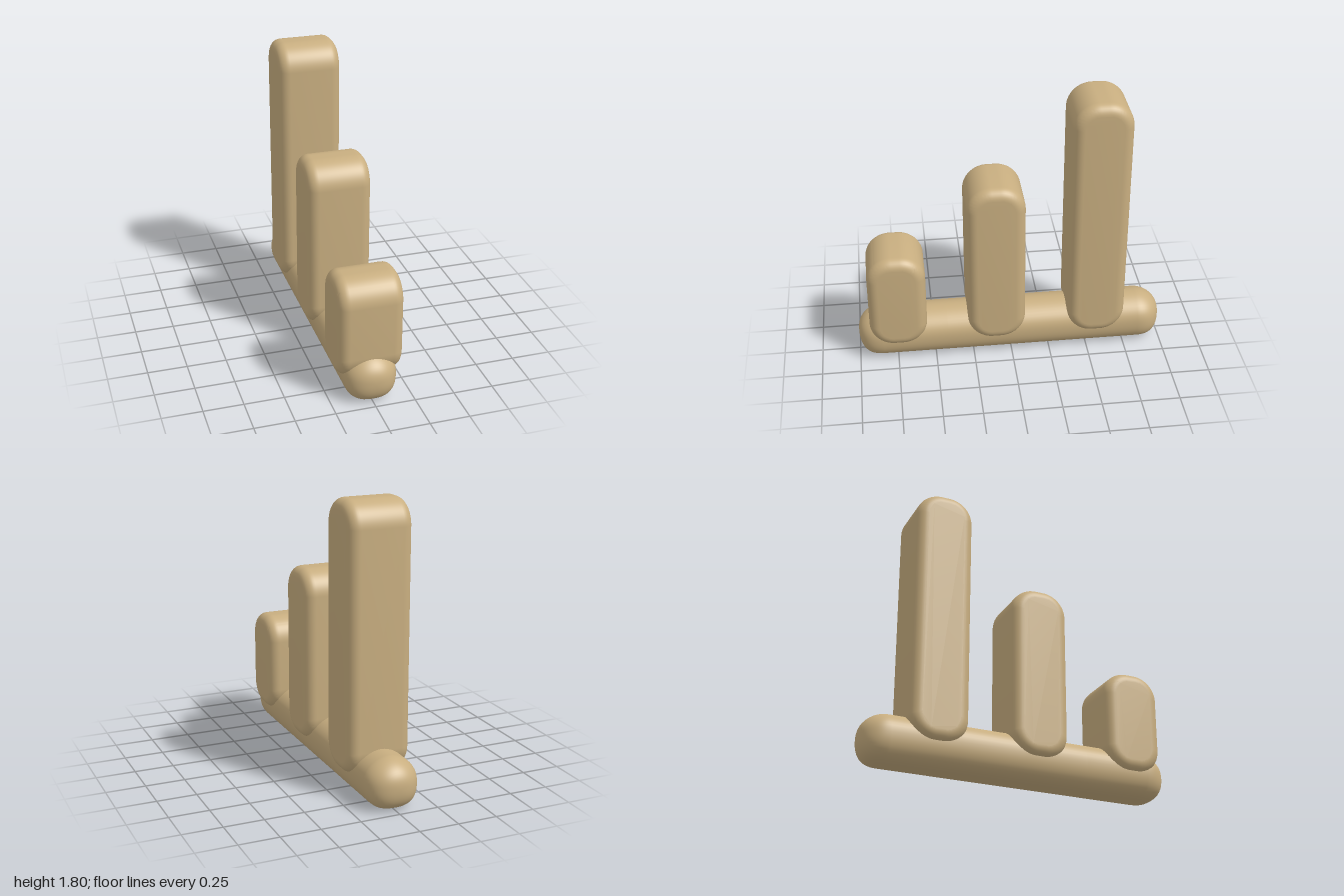
import * as THREE from 'three';
import { mergeVertices, toCreasedNormals } from 'three/addons/utils/BufferGeometryUtils.js';

const tan = new THREE.MeshStandardMaterial({ color: 0xc8ae80 });
tan.name = 'tan';

// Upright slab: big round corners seen from the side, small rounded edges across x
function barGeometry(y0, y1, depth, width) {
  const bevel = 0.065, r = 0.095;
  const h = depth / 2 - bevel, b = y0 + bevel, t = y1 - bevel;
  const s = new THREE.Shape();
  s.absarc(h - r, b + r, r, -Math.PI / 2, 0, false);
  s.absarc(h - r, t - r, r, 0, Math.PI / 2, false);
  s.absarc(-h + r, t - r, r, Math.PI / 2, Math.PI, false);
  s.absarc(-h + r, b + r, r, Math.PI, Math.PI * 1.5, false);
  const length = width - 2 * bevel;
  const g = new THREE.ExtrudeGeometry(s, {
    depth: length, bevelEnabled: true, bevelSize: bevel, bevelThickness: bevel,
    bevelSegments: 8, curveSegments: 12,
  });
  g.translate(0, 0, -length / 2);
  g.rotateY(Math.PI / 2);
  return toCreasedNormals(g, Math.PI / 4);
}

// Lying capsule, rounder on top and squarer underneath
function baseGeometry() {
  const r = 0.16, half = 1 - r;
  const g = new THREE.CapsuleGeometry(r, half * 2, 16, 48, 4);
  g.rotateX(Math.PI / 2);
  const pos = g.attributes.position;
  const v = new THREE.Vector3();
  for (let i = 0; i < pos.count; i++) {
    v.fromBufferAttribute(pos, i);
    const axisZ = THREE.MathUtils.clamp(v.z, -half, half);
    v.z -= axisZ;
    v.normalize();
    const p = 2.3 - 0.4 * v.y;
    const len = Math.pow(Math.abs(v.x) ** p + Math.abs(v.y) ** p + Math.abs(v.z) ** p, 1 / p);
    v.divideScalar(len);
    pos.setXYZ(i, v.x * 0.165, v.y * 0.157 + 0.157, v.z * r + axisZ);
  }
  g.deleteAttribute('uv');
  g.deleteAttribute('normal');
  const merged = mergeVertices(g, 1e-4);
  merged.computeVertexNormals();
  return merged;
}

export function createModel() {
  const group = new THREE.Group();
  group.name = 'steppedBars';

  const base = new THREE.Mesh(baseGeometry(), tan);
  base.name = 'base';
  group.add(base);

  // Three bars rising towards the back
  const bars = [
    ['shortBar', 0.74, 0.797],
    ['middleBar', 0.1, 1.265],
    ['tallBar', -0.553, 1.805],
  ];
  for (const [name, z, top] of bars) {
    const bar = new THREE.Mesh(barGeometry(0.14, top, 0.372, 0.402), tan);
    bar.name = name;
    bar.position.z = z;
    group.add(bar);
  }
  return group;
}
